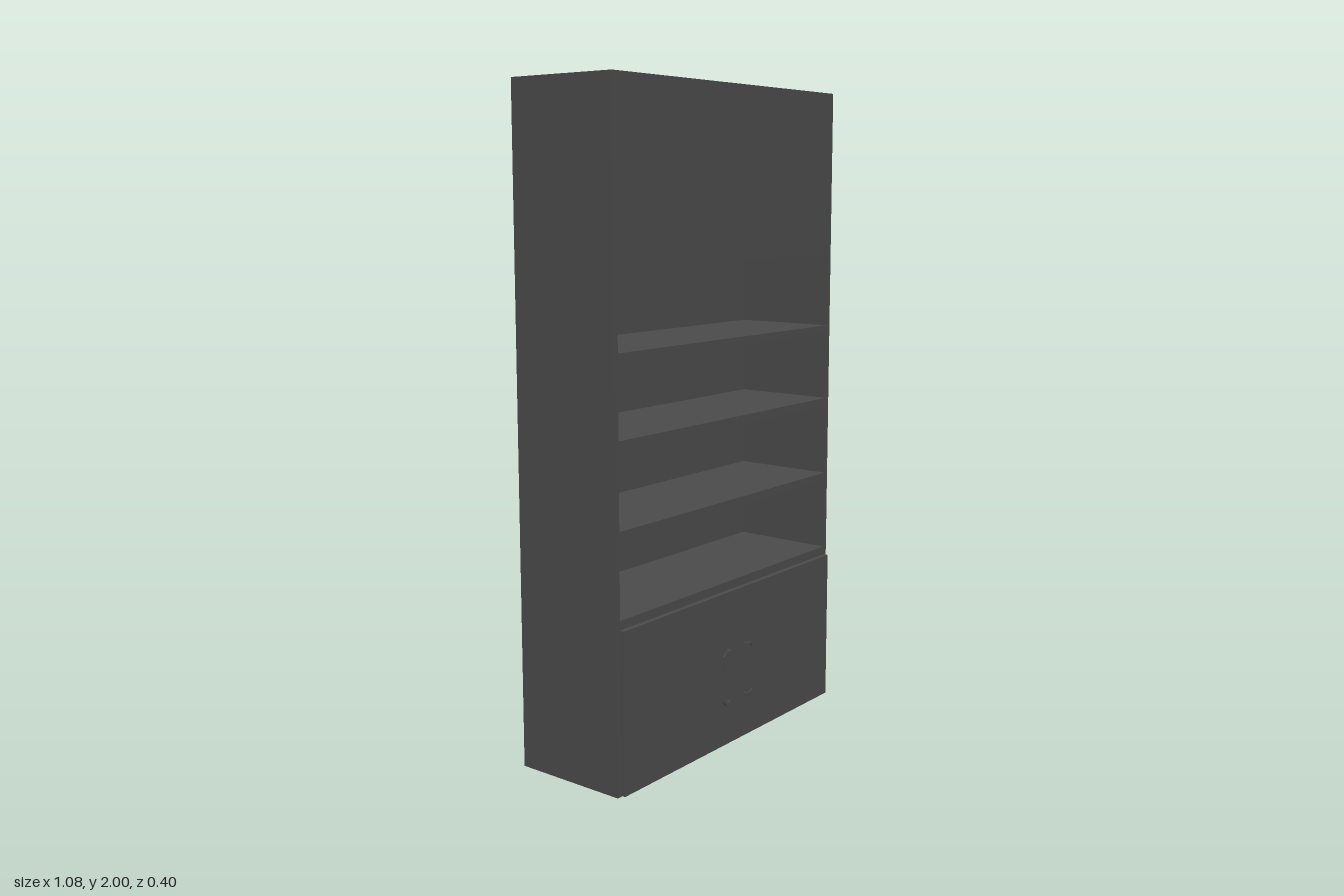
import * as THREE from 'three';

const material = new THREE.MeshStandardMaterial({ color: 0x4c4c4c });

function mesh(name, geometry, parent) {
  const m = new THREE.Mesh(geometry, material);
  m.name = name;
  parent.add(m);
  return m;
}

// Box given by its minimum and maximum corners
function box(name, [x0, y0, z0], [x1, y1, z1], parent) {
  const m = mesh(name, new THREE.BoxGeometry(x1 - x0, y1 - y0, z1 - z0), parent);
  m.position.set((x0 + x1) / 2, (y0 + y1) / 2, (z0 + z1) / 2);
  return m;
}

function polygon(points, Type = THREE.Shape) {
  return new Type(points.map(([x, y]) => new THREE.Vector2(x, y)));
}

const rect = (x0, y0, x1, y1) => [[x0, y0], [x1, y0], [x1, y1], [x0, y1]];

// C-shaped pull with chamfered corners, standing off the door on two posts
function makeHandle(name, side, frontZ) {
  const handle = new THREE.Group();
  handle.name = name;
  const doorZ = 0.183, thick = 0.004;
  const outer = [[0.042, 0.31], [0.068, 0.31], [0.08, 0.297], [0.08, 0.153], [0.068, 0.138], [0.042, 0.138]];
  const inner = [[0.042, 0.147], [0.064, 0.147], [0.071, 0.156], [0.071, 0.294], [0.064, 0.301], [0.042, 0.301]];
  const outline = [...outer, ...inner].map(([x, y]) => [x * side, y]);
  const grip = new THREE.ExtrudeGeometry(polygon(outline), { depth: thick, bevelEnabled: false });
  mesh('grip', grip, handle).position.z = frontZ - thick;
  for (const y of [0.1425, 0.3055]) {
    const x = 0.0455 * side;
    box('post', [x - 0.0035, y - 0.0045, doorZ], [x + 0.0035, y + 0.0045, frontZ - 0.001], handle);
  }
  return handle;
}

export function createModel() {
  const bookcase = new THREE.Group();
  bookcase.name = 'bookcase';

  // Cabinet body with four open compartments
  const front = polygon(rect(-0.538, 0, 0.538, 2));
  const openings = [[0.515, 0.743], [0.768, 0.992], [1.02, 1.235], [1.26, 1.49]];
  for (const [y0, y1] of openings) front.holes.push(polygon(rect(-0.522, y0, 0.522, y1), THREE.Path));
  const backZ = -0.165, frontZ = 0.167;
  const body = new THREE.ExtrudeGeometry(front, { depth: frontZ - backZ, bevelEnabled: false });
  mesh('cabinetBody', body, bookcase).position.z = backZ;

  // Back panel closing the compartments
  box('backPanel', [-0.538, 0, -0.2], [0.538, 2, backZ], bookcase);

  // Cupboard front and its pair of handles
  box('cupboardDoor', [-0.525, 0.004, frontZ], [0.525, 0.488, 0.183], bookcase);
  bookcase.add(makeHandle('leftHandle', 1, 0.197), makeHandle('rightHandle', -1, 0.2));

  return bookcase;
}
